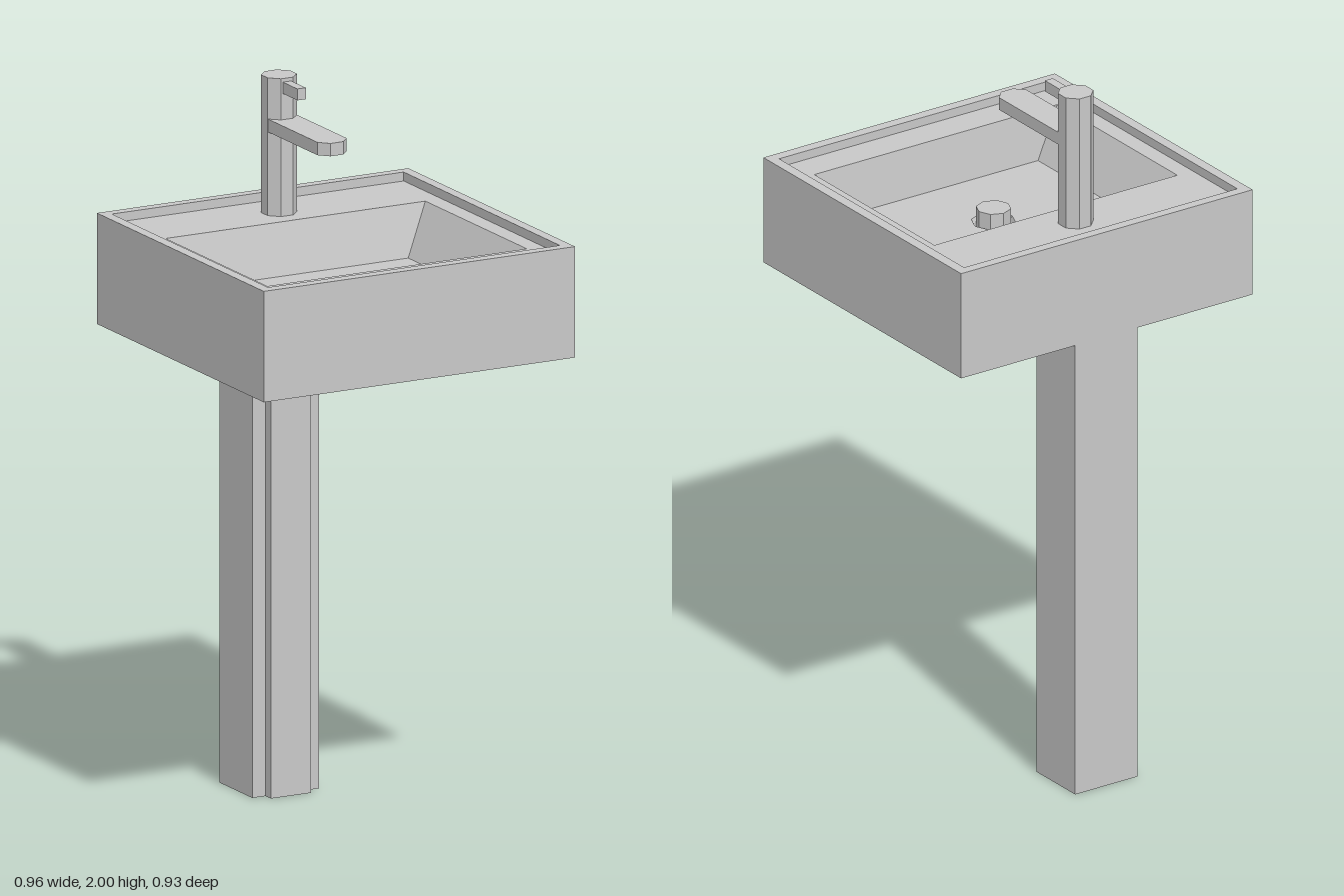
import * as THREE from 'three';

const ceramic = new THREE.MeshStandardMaterial({ color: 0xc8c8c8 });
ceramic.name = 'light grey';

function add(group, name, geometry, x = 0, y = 0, z = 0) {
  const mesh = new THREE.Mesh(geometry, ceramic);
  mesh.name = name;
  mesh.position.set(x, y, z);
  group.add(mesh);
  return mesh;
}

// Box given by its limits on each axis
function addBox(group, name, [x0, x1], [y0, y1], [z0, z1]) {
  return add(group, name, new THREE.BoxGeometry(x1 - x0, y1 - y0, z1 - z0),
    (x0 + x1) / 2, (y0 + y1) / 2, (z0 + z1) / 2);
}

// Flat-sided skin through rectangular rings [half width, back z, front z, y]
function rectangleLoft(rings) {
  const corners = rings.map(([w, b, f, y]) => [[-w, y, f], [w, y, f], [w, y, b], [-w, y, b]]);
  const points = [];
  for (let i = 0; i < corners.length - 1; i++) {
    for (let j = 0; j < 4; j++) {
      const k = (j + 1) % 4;
      const [a, b, c, d] = [corners[i][j], corners[i][k], corners[i + 1][k], corners[i + 1][j]];
      points.push(...a, ...b, ...c, ...a, ...c, ...d);
    }
  }
  const geometry = new THREE.BufferGeometry();
  geometry.setAttribute('position', new THREE.Float32BufferAttribute(points, 3));
  geometry.computeVertexNormals();
  return geometry;
}

// Eight-sided prism or funnel with flat facets
function octagon(top, bottom, height, open = false) {
  const geometry = new THREE.CylinderGeometry(top, bottom, height, 8, 1, open).toNonIndexed();
  geometry.computeVertexNormals();
  return geometry;
}

export function createModel() {
  const model = new THREE.Group();
  model.name = 'pedestalWashbasin';
  const floorY = 1.475, drainZ = 0.068, drainR = 0.061;

  // Basin: underside, outer walls, raised rim, deck and sloping bowl
  const basin = new THREE.Group();
  basin.name = 'basin';
  model.add(basin);
  add(basin, 'basinShell', rectangleLoft([
    [0, 0, 0, 1.33],
    [0.48, -0.465, 0.465, 1.33],
    [0.48, -0.465, 0.465, 1.64],
    [0.45, -0.436, 0.434, 1.64],
    [0.45, -0.436, 0.434, 1.615],
    [0.4, -0.225, 0.34, 1.615],
    [0.325, -0.185, 0.323, floorY],
  ]));

  // Bowl floor with an eight-sided drain opening
  const floor = new THREE.Shape([[-0.325, -0.323], [0.325, -0.323], [0.325, 0.185], [-0.325, 0.185]]
    .map(([x, y]) => new THREE.Vector2(x, y)));
  const opening = [];
  for (let i = 0; i < 8; i++) {
    const a = -i * Math.PI / 4;
    opening.push(new THREE.Vector2(drainR * Math.cos(a), -drainZ + drainR * Math.sin(a)));
  }
  floor.holes.push(new THREE.Path(opening));
  add(basin, 'bowlFloor', new THREE.ShapeGeometry(floor).rotateX(-Math.PI / 2), 0, floorY, 0);

  // Drain: inward-facing funnel and plug
  const funnel = octagon(drainR, 0.045, 0.03, true).scale(1, 1, -1);
  funnel.computeVertexNormals();
  add(basin, 'drainFunnel', funnel, 0, floorY - 0.015, drainZ);
  add(basin, 'drainPlug', octagon(0.048, 0.048, 0.07), 0, 1.48, drainZ);

  // Pedestal with a shallow front strip
  const pedestal = new THREE.Group();
  pedestal.name = 'pedestal';
  model.add(pedestal);
  addBox(pedestal, 'pedestalBody', [-0.103, 0.103], [0, 1.33], [-0.463, -0.28]);
  addBox(pedestal, 'pedestalFrontStrip', [-0.062, 0.062], [0, 1.33], [-0.28, -0.25]);

  // Tap: post, spout with clipped end, lever
  const tap = new THREE.Group();
  tap.name = 'tap';
  model.add(tap);
  add(tap, 'tapPost', octagon(0.049, 0.049, 0.385).rotateY(Math.PI / 8), 0, 1.8075, -0.318);
  const outline = new THREE.Shape([[-0.045, 0.31], [-0.045, 0.022], [-0.02, -0.005],
    [0.02, -0.005], [0.045, 0.022], [0.045, 0.31]].map(([x, y]) => new THREE.Vector2(x, y)));
  add(tap, 'spout', new THREE.ExtrudeGeometry(outline, { depth: 0.036, bevelEnabled: false })
    .rotateX(-Math.PI / 2), 0, 1.849, 0);
  addBox(tap, 'lever', [-0.013, 0.013], [1.958, 1.99], [-0.29, -0.192]);

  return model;
}
